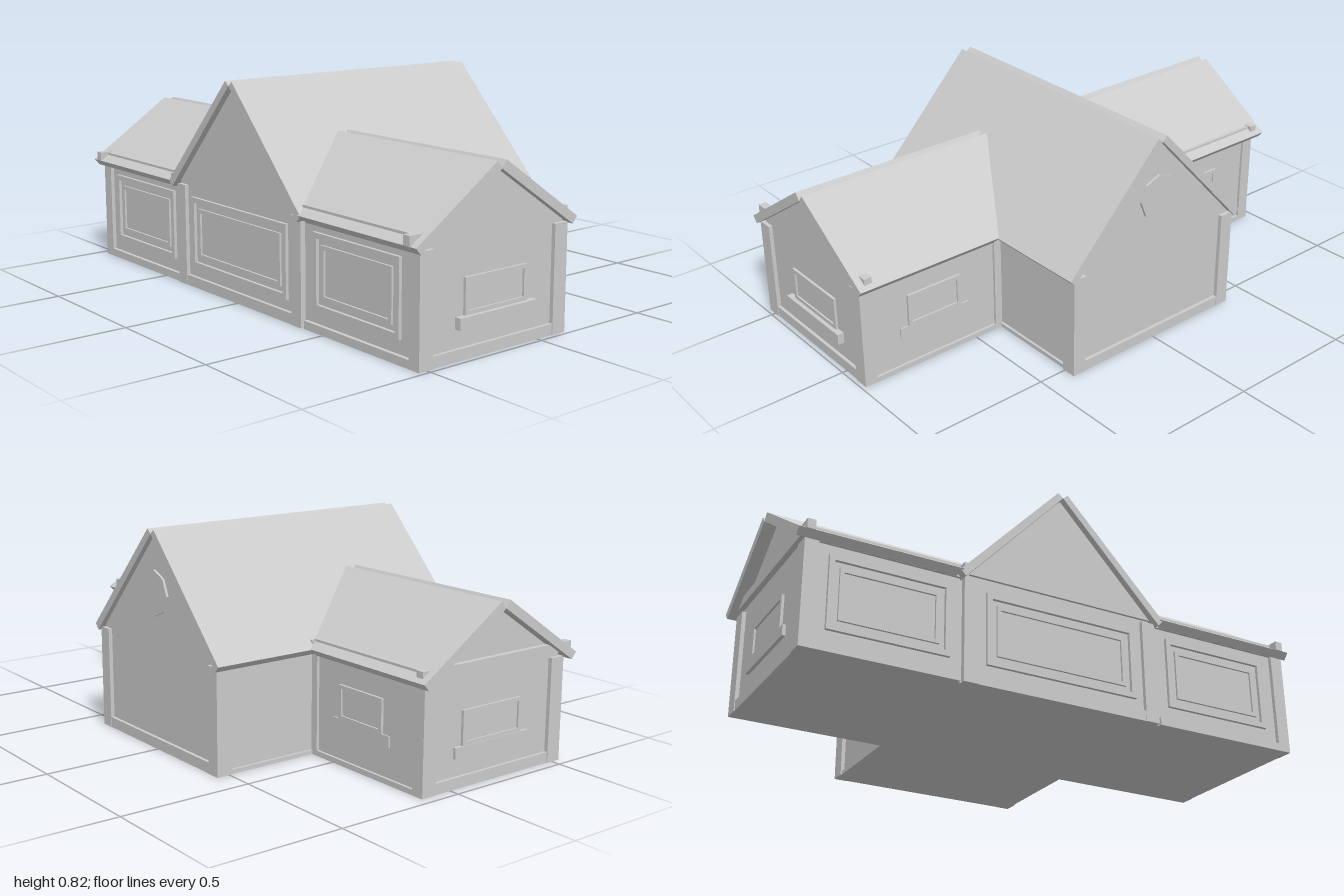
import * as THREE from 'three';

const mat = new THREE.MeshStandardMaterial({ color: 0xcccccc, flatShading: true });

export function createModel() {
  const house = new THREE.Group();
  house.name = 'house';

  function add(name, geometry, parent = house) {
    const m = new THREE.Mesh(geometry, mat);
    m.name = name;
    parent.add(m);
    return m;
  }
  // box given by its limits
  function box(name, x0, x1, y0, y1, z0, z1, parent) {
    const m = add(name, new THREE.BoxGeometry(x1 - x0, y1 - y0, z1 - z0), parent);
    m.position.set((x0 + x1) / 2, (y0 + y1) / 2, (z0 + z1) / 2);
    return m;
  }
  const polygon = pts => new THREE.Shape(pts.map(p => new THREE.Vector2(...p)));
  const rect = (w, h) => polygon([[-w / 2, -h / 2], [w / 2, -h / 2], [w / 2, h / 2], [-w / 2, h / 2]]);
  const octagon = r => polygon(Array.from({ length: 8 }, (_, i) =>
    [r * Math.sin(i * Math.PI / 4), r * Math.cos(i * Math.PI / 4)]));
  function extrude(shape, depth, hole) {
    if (hole) shape.holes.push(hole);
    return new THREE.ExtrudeGeometry(shape, { depth, bevelEnabled: false });
  }
  // flat frame facing +z
  const frame = (w, h, t, d) => extrude(rect(w, h), d, rect(w - 2 * t, h - 2 * t));

  // group on a wall; its +z points out of the wall
  function onWall(name, x, y, z, turn) {
    const g = new THREE.Group();
    g.name = name;
    g.position.set(x, y, z);
    g.rotation.y = turn;
    house.add(g);
    return g;
  }
  function sillWindow(name, x, y, z, turn, w, h, out) {
    const g = onWall(name, x, y, z, turn);
    add('windowFrame', frame(w, h, 0.014, 0.01), g);
    box('windowPane', -w / 2 + 0.01, w / 2 - 0.01, -h / 2 + 0.01, h / 2 - 0.01, -0.005, 0.003, g);
    box('windowSill', -w / 2 - 0.035, w / 2 + 0.035, -h / 2 - 0.04, -h / 2, -0.005, out, g);
  }

  // gabled main hall, ridge along x
  const hall = add('hallWalls', extrude(polygon([
    [-0.375, 0], [0.375, 0], [0.375, 0.4], [0, 0.8], [-0.375, 0.4]]), 1.06));
  hall.rotation.y = Math.PI / 2;
  hall.position.x = -0.525;

  // gabled wings, ridge along z
  const wingShape = () => polygon([[-0.52, 0], [0.12, 0], [0.12, 0.394], [-0.2, 0.605], [-0.52, 0.394]]);
  add('frontWingWalls', extrude(wingShape(), 0.67)).position.z = 0.3;
  add('backWingWalls', extrude(wingShape(), 0.65)).position.z = -0.95;

  // hall roof: two slabs with a notch along the ridge
  for (const s of [-1, 1]) {
    const slab = add('hallRoof', extrude(polygon([
      [0, 0.8], [s * 0.395, 0.378], [s * 0.415, 0.4], [s * 0.02, 0.817]]), 1.12));
    slab.rotation.y = Math.PI / 2;
    slab.position.x = -0.56;
  }

  // wing roofs: inner ends are cut to follow the hall roof
  for (const end of [-1, 1]) for (const s of [-1, 1]) {
    const geo = extrude(polygon([
      [-0.2, 0.605], [-0.2 + s * 0.342, 0.378], [-0.2 + s * 0.363, 0.402], [-0.2 + s * 0.02, 0.632]]), 1);
    const p = geo.attributes.position;
    for (let i = 0; i < p.count; i++) {
      const valley = 0.405 - (p.getY(i) - 0.4) / 1.055;
      const inner = p.getZ(i) < 0.5 === end > 0;
      p.setZ(i, end * (inner ? valley : 0.997));
    }
    geo.computeVertexNormals();
    add('wingRoof', geo);
  }

  // corner posts and base boards of the wings
  for (const [end, face, back] of [[1, 0.985, 0.4], [-1, 0.965, 0.4]]) {
    const span = (a, b) => end > 0 ? [a, b] : [-b, -a];
    box('wingPost', -0.535, -0.475, 0, 0.385, ...span(face - 0.05, face));
    box('wingPost', 0.07, 0.13, 0, 0.385, ...span(face - 0.05, face));
    box('wingInnerPost', 0.1, 0.13, 0, 0.385, ...span(0.38, back + 0.01));
    box('wingBase', -0.48, 0.08, 0, 0.04, ...span(face - 0.05, face - 0.003));
    box('wingSideBase', 0.1, 0.13, 0, 0.02, ...span(back, face - 0.03));
    box('wingSideBase', -0.535, -0.5, 0, 0.03, ...span(back, face - 0.03));
    // beams under the eaves, with ends poking through the roof
    box('tieBeam', -0.565, 0.145, 0.402, 0.437, ...span(0.94, 0.97));
    box('eaveBeam', -0.53, -0.49, 0.385, 0.433, ...span(0.39, 0.95));
    if (end < 0) box('eaveBeam', 0.09, 0.13, 0.385, 0.433, ...span(0.39, 0.95));
  }
  box('innerTieBeam', -0.56, 0.145, 0.395, 0.43, -0.4, -0.385);

  // hall corner posts and base boards
  for (const s of [-1, 1]) {
    const z = s > 0 ? [0.335, 0.39] : [-0.39, -0.335];
    box('hallPost', 0.49, 0.55, 0, 0.39, ...z);
    box('hallPost', -0.54, -0.48, 0, 0.39, ...z);
    const zb = s > 0 ? [0.36, 0.385] : [-0.385, -0.36];
    box('hallBase', 0.1, 0.5, 0, 0.015, ...zb);
  }
  box('hallEndBase', 0.5, 0.548, 0, 0.04, -0.34, 0.34);
  box('hallEndBase', -0.538, -0.5, 0, 0.04, -0.34, 0.34);
  // gable panels above the end walls
  for (const [name, x] of [['gablePanel', 0.533], ['gablePanel', -0.533]]) {
    const g = add(name, extrude(polygon([[-0.37, 0.4], [0.37, 0.4], [0, 0.795]]), 0.01));
    g.rotation.y = Math.PI / 2;
    g.position.x = x > 0 ? x : x - 0.005;
  }

  // eight-sided gable window
  const round = onWall('gableWindow', 0.54, 0.585, 0, Math.PI / 2);
  add('gableWindowFrame', extrude(octagon(0.085), 0.012, octagon(0.063)), round);
  add('gableWindowPane', extrude(octagon(0.066), 0.006), round);

  // windows with sills
  sillWindow('frontWindow', -0.195, 0.2075, 0.97, 0, 0.28, 0.125, 0.025);
  sillWindow('backWindow', -0.195, 0.2075, -0.95, Math.PI, 0.28, 0.125, 0.012);
  sillWindow('sideWindow', 0.12, 0.2325, 0.678, Math.PI / 2, 0.226, 0.125, 0.006);
  sillWindow('sideWindow', 0.12, 0.2325, -0.643, Math.PI / 2, 0.226, 0.125, 0.006);

  // large framed panes along the long straight side
  for (const [x, z, w] of [[-0.525, 0, 0.6], [-0.52, 0.665, 0.44], [-0.52, -0.655, 0.44]]) {
    const g = onWall('longWindow', x, 0.215, z, -Math.PI / 2);
    add('outerFrame', frame(w, 0.27, 0.02, 0.012), g);
    add('innerFrame', frame(w - 0.08, 0.19, 0.015, 0.008), g);
  }
  return house;
}
